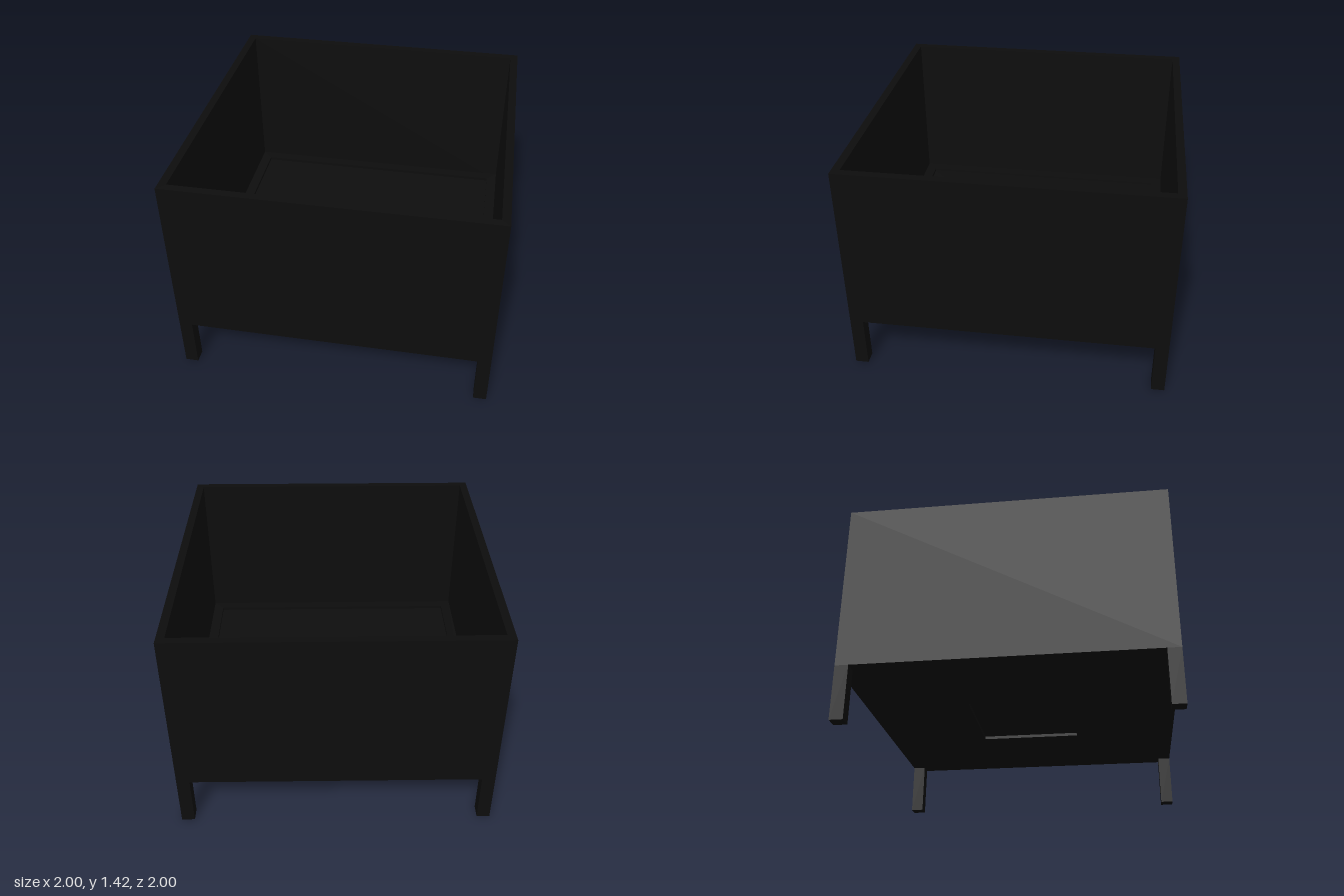
import * as THREE from 'three';

const HALF = 1, WALL = 0.05, LEG = 0.083, BASE = 0.34, TOP = 1.42;

// Square outline of a given half width
function trace(path, h) {
  path.moveTo(-h, -h);
  path.lineTo(h, -h);
  path.lineTo(h, h);
  path.lineTo(-h, h);
  path.closePath();
  return path;
}

// Horizontal square frame with a square opening, from y0 up to y1
function frame(name, outer, inner, y0, y1, material) {
  const shape = trace(new THREE.Shape(), outer);
  shape.holes.push(trace(new THREE.Path(), inner));
  const geometry = new THREE.ExtrudeGeometry(shape, { depth: y1 - y0, bevelEnabled: false });
  geometry.rotateX(-Math.PI / 2);
  geometry.translate(0, y0, 0);
  const mesh = new THREE.Mesh(geometry, material);
  mesh.name = name;
  return mesh;
}

function box(name, w, h, d, x, y, z, material) {
  const mesh = new THREE.Mesh(new THREE.BoxGeometry(w, h, d), material);
  mesh.position.set(x, y, z);
  mesh.name = name;
  return mesh;
}

export function createModel() {
  const model = new THREE.Group();
  model.name = 'squarePlanter';
  const black = new THREE.MeshStandardMaterial({ color: 0x0d0d0d });
  black.name = 'black';

  // Open-topped walls
  const inside = HALF - WALL;
  model.add(frame('walls', HALF, inside, BASE, TOP, black));

  // Base with a shallow square recess underneath, closed by a floor panel
  model.add(frame('base', inside, 0.33, BASE, BASE + 0.02, black));
  model.add(box('floorPanel', inside * 2, 0.012, inside * 2, 0, BASE + 0.026, 0, black));

  // Low ledge around the floor
  model.add(frame('ledge', inside, inside - 0.07, BASE + 0.032, BASE + 0.052, black));

  // Four corner legs
  const c = HALF - LEG / 2;
  for (const sx of [-1, 1]) {
    for (const sz of [-1, 1]) {
      model.add(box('leg', LEG, BASE, LEG, sx * c, BASE / 2, sz * c, black));
    }
  }
  return model;
}
